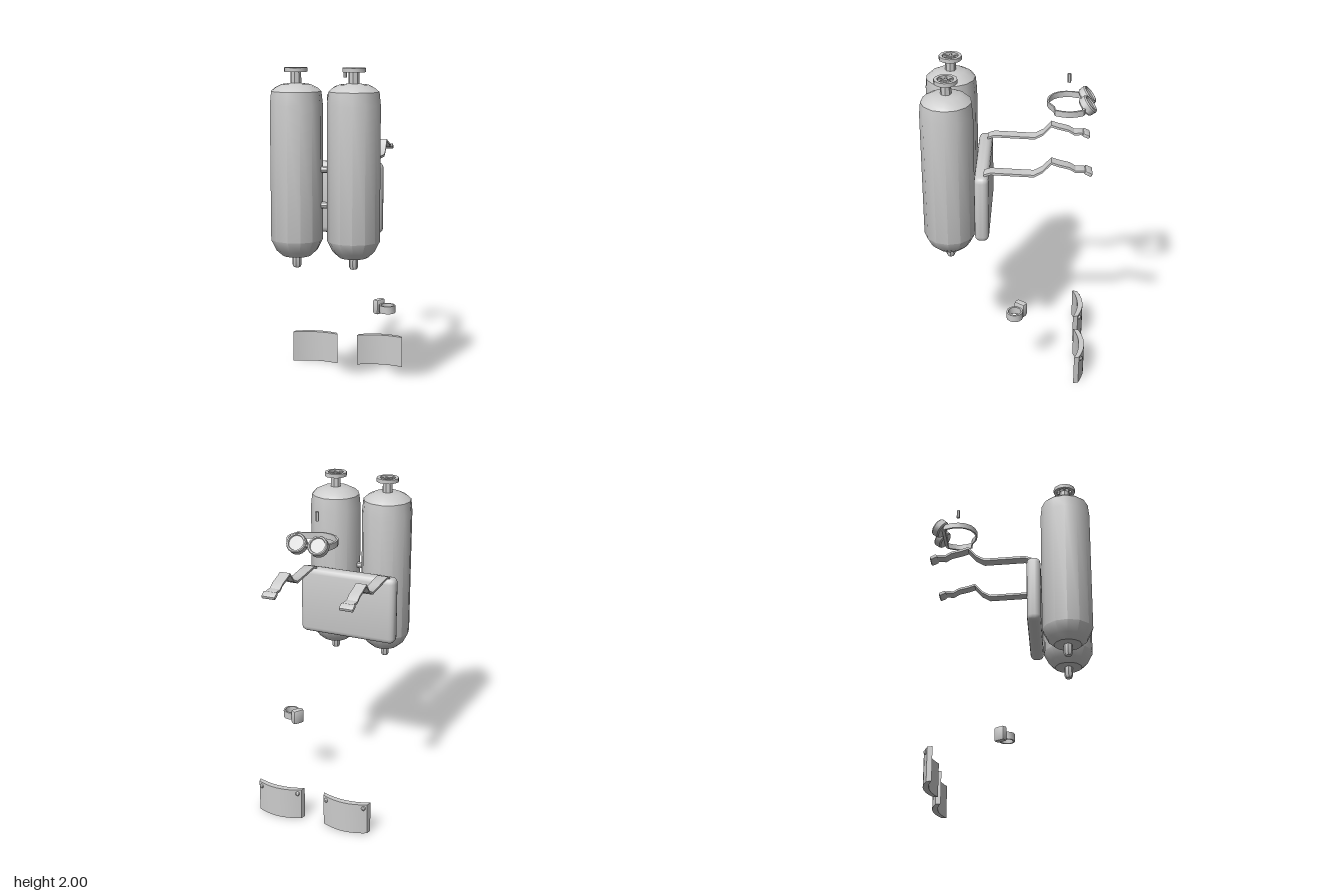
import * as THREE from 'three';
import { toCreasedNormals } from 'three/addons/utils/BufferGeometryUtils.js';
import { RoundedBoxGeometry } from 'three/addons/geometries/RoundedBoxGeometry.js';

const grey = new THREE.MeshStandardMaterial({ color: 0xcccccc });
grey.name = 'plain grey';

const V = ([x, y]) => new THREE.Vector2(x, y);

function part(parent, name, geometry, x = 0, y = 0, z = 0) {
  const mesh = new THREE.Mesh(toCreasedNormals(geometry, 0.6), grey);
  mesh.name = name;
  mesh.position.set(x, y, z);
  parent.add(mesh);
  return mesh;
}

const lathe = (profile, sides, start = 0) =>
  new THREE.LatheGeometry(profile.map(V), sides, start);

// Closed plan outline of [x, z] points, extruded upwards
function planExtrude(outline, height, hole) {
  const flip = (pts) => pts.map(([x, z]) => V([x, -z]));
  const shape = new THREE.Shape(flip(outline));
  if (hole) shape.holes.push(new THREE.Path(flip(hole)));
  return new THREE.ExtrudeGeometry(shape, { depth: height, bevelEnabled: false }).rotateX(-Math.PI / 2);
}

// Flat ring standing on its lower edge
const ringProfile = (ro, ri, h) => [[ri, 0], [ro, 0], [ro, h], [ri, h], [ri, 0]];

// Gas cylinder with hand wheel and lower nozzle
function addTank(parent, x, side) {
  const tank = new THREE.Group();
  tank.name = side < 0 ? 'rightTank' : 'leftTank';
  tank.position.set(x, 0, 0.352);
  parent.add(tank);
  part(tank, 'tankBody', lathe([[0, 0.902], [0.085, 0.902], [0.122, 0.935], [0.155, 1.0], [0.155, 1.79],
    [0.147, 1.865], [0.125, 1.885], [0.085, 1.905], [0, 1.915]], 13, side * Math.PI / 2));
  part(tank, 'valveStem', new THREE.CylinderGeometry(0.032, 0.032, 0.08, 8), 0, 1.935);
  part(tank, 'nozzle', lathe([[0, 0.83], [0.02, 0.83], [0.027, 0.845], [0.027, 0.91]], 8));
  part(tank, 'handWheelRim', lathe(ringProfile(0.068, 0.048, 0.024), 12), 0, 1.976);
  part(tank, 'handWheelHub', new THREE.CylinderGeometry(0.014, 0.014, 0.03, 8), 0, 1.983);
  for (let i = 0; i < 3; i++) {
    part(tank, 'handWheelSpoke', new THREE.BoxGeometry(0.1, 0.014, 0.011), 0, 1.986).rotation.y = i * Math.PI / 3;
  }
}

// Shoulder strap: a side path of [z, y] points given thickness and width
function addStrap(parent, x) {
  const path = [[0.14, 1.442], [0.1, 1.456], [-0.03, 1.45], [-0.15, 1.445], [-0.2, 1.473], [-0.25, 1.53],
    [-0.29, 1.516], [-0.355, 1.5], [-0.39, 1.478], [-0.435, 1.48], [-0.475, 1.46]];
  const top = path.map(([z, y]) => V([-z, y + 0.007]));
  const bottom = path.map(([z, y]) => V([-z, y - 0.007])).reverse();
  const geometry = new THREE.ExtrudeGeometry(new THREE.Shape([...top, ...bottom]),
    { depth: 0.066, bevelEnabled: false }).rotateY(Math.PI / 2);
  part(parent, 'shoulderStrap', geometry, x - 0.033);
  part(parent, 'strapBuckle', new RoundedBoxGeometry(0.088, 0.024, 0.047, 1, 0.008), x, 1.47, -0.463)
    .rotation.x = -0.45;
}

// Curved plate, bulging to the back, with two studs
function addPlate(parent, x) {
  const inner = [], outer = [];
  for (let i = 0; i <= 10; i++) {
    const t = i / 5 - 1;
    inner.push([0.152 * t, -0.45 + 0.032 * t * t]);
    outer.unshift([0.143 * t, -0.484 + 0.035 * t * t]);
  }
  part(parent, 'curvedPlate', planExtrude([...inner, ...outer], 0.203), x);
  for (const s of [-1, 1]) {
    part(parent, 'plateStud', new THREE.SphereGeometry(0.014, 8, 6), x + s * 0.122, 0.178, -0.459);
  }
}

function addGoggles(parent) {
  const goggles = new THREE.Group();
  goggles.name = 'goggles';
  parent.add(goggles);
  // Uneven head band
  const band = [[-0.1, -0.43], [-0.12, -0.37], [-0.122, -0.33], [-0.112, -0.29], [-0.085, -0.252], [-0.045, -0.228],
    [0.005, -0.218], [0.05, -0.228], [0.1, -0.257], [0.15, -0.265], [0.168, -0.31], [0.173, -0.35],
    [0.165, -0.39], [0.145, -0.43], [0.12, -0.44], [-0.08, -0.44]];
  const hole = band.slice(0, 14).map(([x, z]) => [0.025 + (x - 0.025) * 0.92, -0.33 + (z + 0.33) * 0.91]);
  part(goggles, 'headBand', planExtrude(band, 0.035, hole), 0, 1.77);
  // Tilted eye cups
  for (const x of [-0.062, 0.068]) {
    part(goggles, 'eyeCup', lathe([[0, -0.026], [0.05, -0.026], [0.057, -0.018], [0.059, 0.018], [0.054, 0.026],
      [0.046, 0.026], [0.043, 0.018], [0, 0.018]], 18), x, 1.8, -0.453).rotation.x = -0.9;
  }
  part(goggles, 'noseBridge', new THREE.CylinderGeometry(0.011, 0.011, 0.04, 8).rotateZ(Math.PI / 2),
    0.003, 1.8, -0.46);
}

function addWristGauge(parent) {
  const gauge = new THREE.Group();
  gauge.name = 'wristGauge';
  parent.add(gauge);
  part(gauge, 'wristBand', lathe(ringProfile(0.051, 0.04, 0.047), 12), 0.318, 0.472, -0.044);
  part(gauge, 'gaugeCase', new RoundedBoxGeometry(0.042, 0.095, 0.075, 1, 0.012), 0.26, 0.5, -0.08)
    .rotation.y = -0.6;
}

export function createModel() {
  const model = new THREE.Group();
  model.name = 'divingKit';

  addTank(model, -0.167, -1);
  addTank(model, 0.173, 1);
  for (const y of [1.205, 1.415]) {
    part(model, 'tankConnector', new THREE.CylinderGeometry(0.02, 0.02, 0.06, 8).rotateZ(Math.PI / 2), 0.003, y, 0.352);
  }

  // Back pad and its straps
  part(model, 'backPad', new RoundedBoxGeometry(0.625, 0.43, 0.085, 2, 0.035), 0.003, 1.225, 0.153);
  for (const x of [-0.237, 0.244]) addStrap(model, x);

  addGoggles(model);
  part(model, 'smallPin', new THREE.CylinderGeometry(0.011, 0.011, 0.053, 6), -0.007, 1.938, -0.345);
  addWristGauge(model);
  for (const x of [-0.222, 0.214]) addPlate(model, x);
  return model;
}
